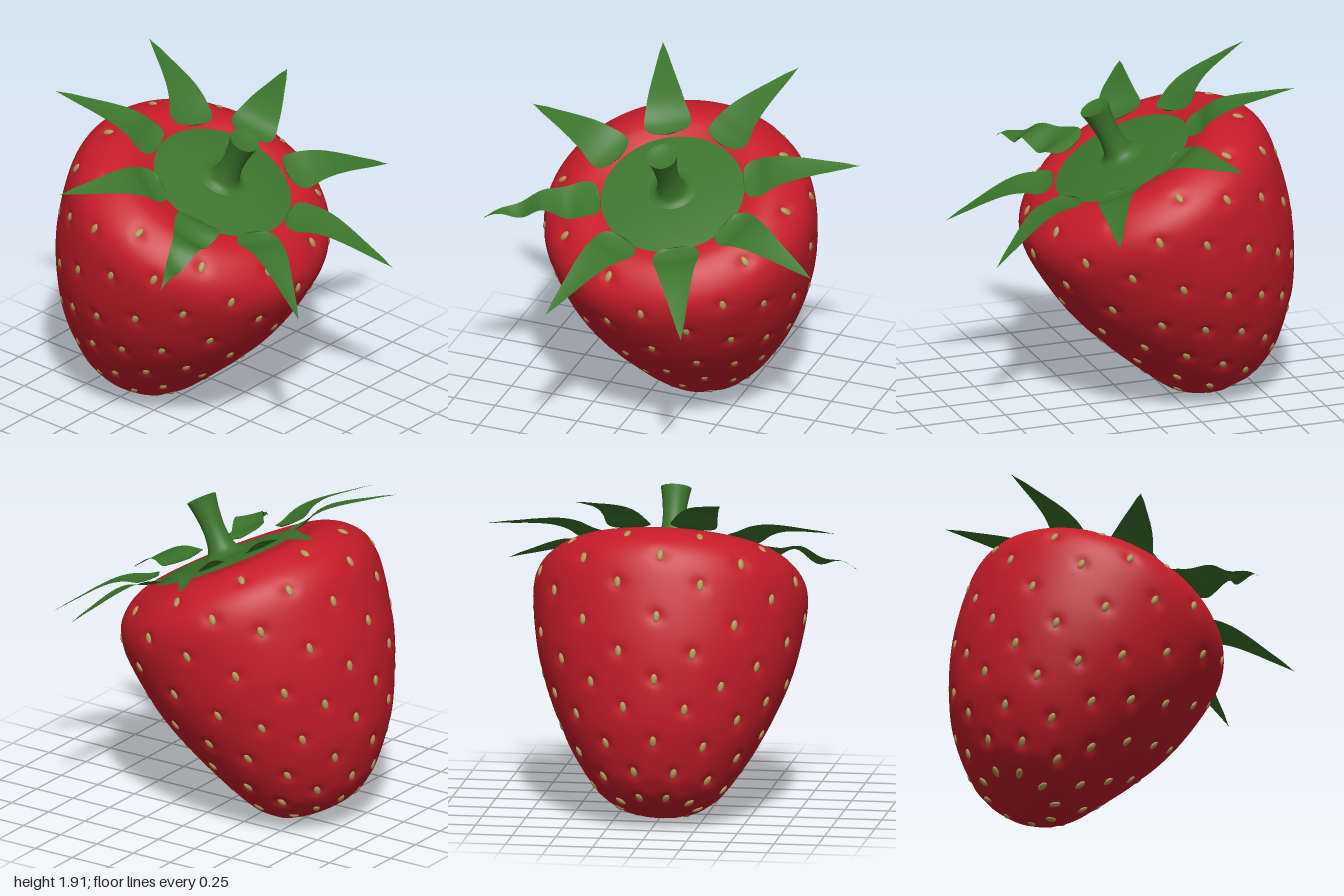
import * as THREE from 'three';
import { mergeGeometries, mergeVertices } from 'three/addons/utils/BufferGeometryUtils.js';

const material = (name, color, side = THREE.FrontSide) => {
  const m = new THREE.MeshStandardMaterial({ color, side });
  m.name = name;
  return m;
};
const spline = (pts) => new THREE.SplineCurve(pts.map(([x, y]) => new THREE.Vector2(x, y)));
// value of a smooth curve through evenly spaced samples
const samples = (values) => {
  const curve = spline(values.map((v, i) => [i, v]));
  return (t) => curve.getPoint(t).y;
};

// half profile of the fruit, from the tip up to the shallow dip under the crown
const profile = spline([
  [0, -1.56], [0.11, -1.553], [0.22, -1.525], [0.3, -1.47], [0.37, -1.4], [0.5, -1.2],
  [0.62, -0.94], [0.7, -0.7], [0.745, -0.45], [0.755, -0.28], [0.725, -0.17], [0.65, -0.085],
  [0.56, -0.035], [0.48, -0.026], [0.41, -0.04], [0.25, -0.08], [0, -0.08],
]);

// the fruit body leans slightly away from the stem axis
const lean = (v) => {
  v.x = v.x * 1.03 - 0.02;
  v.z = v.z * 1.01 - 0.045 * THREE.MathUtils.smoothstep(v.y, -1.56, -1.1);
  return v;
};

// staggered rings of seeds: [height, seeds in the ring, starting angle in degrees]
const seedRings = [
  [-0.09, 10, 21], [-0.24, 10, 3], [-0.4, 10, 21], [-0.595, 10, 3], [-0.79, 10, 21],
  [-0.94, 10, 3], [-1.09, 10, 21], [-1.26, 10, 3], [-1.41, 10, 21], [-1.525, 9, 0],
];
function placeSeeds() {
  const seeds = [];
  for (const [height, count, start] of seedRings) {
    let u = 0;
    while (profile.getPointAt(u).y < height) u += 0.002;
    const p = profile.getPointAt(u), t = profile.getTangentAt(u);
    for (let k = 0; k < count; k++) {
      const phi = THREE.MathUtils.degToRad(start + (360 * k) / count);
      const s = Math.sin(phi), c = Math.cos(phi);
      seeds.push({
        point: lean(new THREE.Vector3(p.x * s, p.y, p.x * c)),
        along: new THREE.Vector3(t.x * s, t.y, t.x * c),
        normal: new THREE.Vector3(t.y * s, -t.x, t.y * c),
      });
    }
  }
  return seeds;
}

// fruit body with a soft dimple around every seed
function fruitGeometry(seeds) {
  let geo = new THREE.LatheGeometry(profile.getSpacedPoints(120), 144);
  geo.deleteAttribute('uv');
  geo.deleteAttribute('normal');
  geo = mergeVertices(geo, 1e-5);
  const pos = geo.attributes.position, v = new THREE.Vector3(), moved = new THREE.Vector3();
  for (let i = 0; i < pos.count; i++) {
    lean(v.fromBufferAttribute(pos, i));
    moved.copy(v);
    for (const s of seeds) {
      const d2 = v.distanceToSquared(s.point);
      if (d2 < 0.02) moved.addScaledVector(s.normal, -0.017 * Math.exp(-d2 / 0.0014));
    }
    pos.setXYZ(i, moved.x, moved.y, moved.z);
  }
  geo.computeVertexNormals();
  return geo;
}

function seedGeometry(seeds) {
  return mergeGeometries(seeds.map(({ point, along, normal }) => {
    const side = new THREE.Vector3().crossVectors(along, normal);
    const m = new THREE.Matrix4().makeBasis(side, along, normal);
    m.setPosition(point.clone().addScaledVector(normal, -0.01));
    return new THREE.SphereGeometry(1, 12, 8).scale(0.019, 0.033, 0.014).applyMatrix4(m);
  }));
}

// pointed leaf lying along +x, broad at the base and arched in the middle
const leafWidth = samples([0.118, 0.134, 0.115, 0.096, 0.077, 0.058, 0.04, 0.022, 0]);
const leafHeight = samples([0.005, 0.012, 0.045, 0.058, 0.055, 0.045, 0.032, 0.02, 0.005]);
function leafGeometry(ripple) {
  const geo = new THREE.PlaneGeometry(1, 2, 36, 6), pos = geo.attributes.position;
  for (let i = 0; i < pos.count; i++) {
    const t = Math.pow(pos.getX(i) + 0.5, 1.6), v = pos.getY(i);
    const corner = 1 - Math.min(1, t / 0.1);
    const w = leafWidth(t) * Math.pow(1 - corner ** 3, 0.35);
    const wave = ripple * Math.sin(t * 16) * (1 - t * 0.5);
    const y = leafHeight(t) + 0.01 * v * v * (1 - t) + wave * (1 + 0.4 * v);
    pos.setXYZ(i, 0.41 + 0.67 * t, y, -v * w);
  }
  geo.computeVertexNormals();
  return geo;
}

export function createModel() {
  const red = material('fruitRed', 0xc51c29);
  const green = material('leafGreen', 0x3b742b, THREE.DoubleSide);
  const tan = material('seedTan', 0xb09555);

  const root = new THREE.Group();
  root.name = 'strawberry';
  const tilted = new THREE.Group();
  tilted.name = 'tiltedBerry';
  tilted.position.set(0, 1.485, 0.055);
  tilted.rotation.x = 0.441;
  root.add(tilted);
  const add = (name, geo, mat) => {
    const mesh = new THREE.Mesh(geo, mat);
    mesh.name = name;
    tilted.add(mesh);
    return mesh;
  };

  // fruit and seeds
  const seeds = placeSeeds();
  add('fruit', fruitGeometry(seeds), red);
  add('seeds', seedGeometry(seeds), tan);

  // crown disc, flared stem and its slightly hollow cut end
  const lathe = (pts, n) => new THREE.LatheGeometry(spline(pts).getPoints(n), 48);
  add('crownDisc', lathe([[0.412, -0.022], [0.3, -0.008], [0.2, 0], [0.08, 0.003]], 12), green);
  const stem = add('stem', lathe([[0.15, -0.004], [0.1, 0.018], [0.077, 0.055], [0.065, 0.13],
    [0.066, 0.2], [0.075, 0.28], [0.087, 0.345]], 24), green);
  const stemEnd = add('stemEnd', lathe([[0.087, 0.345], [0.07, 0.342], [0.04, 0.336], [0, 0.334]], 8), green);
  stem.rotation.x = stemEnd.rotation.x = 0.03;

  // ring of eight leaves, one of them rippled
  for (let k = 0; k < 8; k++) {
    const leaf = add(`leaf${k + 1}`, leafGeometry(k === 4 ? 0.03 : 0), green);
    leaf.rotation.y = ((k + 0.5) * Math.PI) / 4;
  }
  return root;
}
